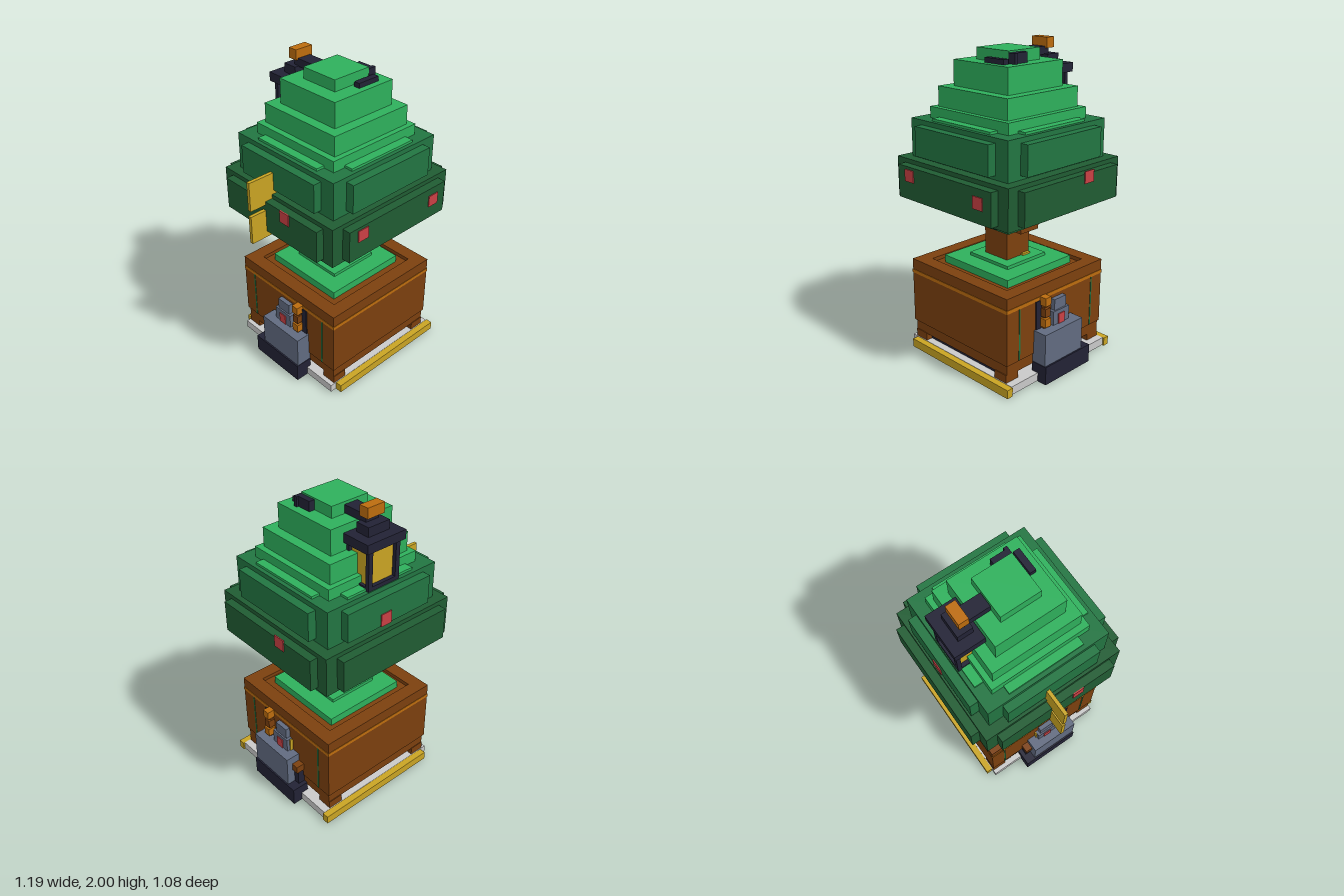
import * as THREE from 'three';

const mat = (name, color) => Object.assign(new THREE.MeshStandardMaterial({ color }), { name });

export function createModel() {
  const M = {
    leaf: mat('brightGreen', 0x2eb05c),
    mid: mat('midGreen', 0x227542),
    dark: mat('darkGreen', 0x205c33),
    wood: mat('brown', 0x7c400e),
    orange: mat('orange', 0xbc6c0e),
    gold: mat('gold', 0xc9a423),
    navy: mat('navy', 0x222235),
    grey: mat('slateGrey', 0x616b80),
    red: mat('red', 0xca4044),
    white: mat('paleGrey', 0xc9c9c9),
  };
  const model = new THREE.Group();
  model.name = 'treeInPlanter';

  const group = (name) => {
    const g = new THREE.Group();
    g.name = name;
    model.add(g);
    return g;
  };
  // Box given by its limits on each axis
  const box = (parent, name, m, x0, x1, y0, y1, z0, z1) => {
    const mesh = new THREE.Mesh(new THREE.BoxGeometry(x1 - x0, y1 - y0, z1 - z0), m);
    mesh.position.set((x0 + x1) / 2, (y0 + y1) / 2, (z0 + z1) / 2);
    mesh.name = name;
    parent.add(mesh);
    return mesh;
  };
  const CX = 0.05, CZ = -0.005; // tree axis
  // Box centred on the tree axis: half width, half depth, bottom, top
  const tier = (parent, name, m, hx, hz, y0, y1) =>
    box(parent, name, m, CX - hx, CX + hx, y0, y1, CZ - hz, CZ + hz);

  // Canopy: stepped tiers with plates standing out of the sides
  const canopy = group('canopy');
  tier(canopy, 'underside', M.mid, 0.375, 0.372, 0.975, 1.04);
  tier(canopy, 'undersideWide', M.mid, 0.422, 0.29, 1.005, 1.045);
  tier(canopy, 'undersideDeep', M.mid, 0.335, 0.422, 1.005, 1.045);
  tier(canopy, 'lowerTier', M.dark, 0.483, 0.48, 1.04, 1.295);
  tier(canopy, 'lowerSidePlates', M.dark, 0.535, 0.405, 1.062, 1.268);
  tier(canopy, 'lowerFacePlates', M.dark, 0.405, 0.535, 1.062, 1.268);
  tier(canopy, 'middleTier', M.mid, 0.416, 0.415, 1.295, 1.535);
  tier(canopy, 'middleSidePlates', M.mid, 0.47, 0.317, 1.32, 1.505);
  tier(canopy, 'middleFacePlates', M.mid, 0.317, 0.47, 1.32, 1.505);
  tier(canopy, 'upperSidePlates', M.leaf, 0.39, 0.255, 1.53, 1.55);
  tier(canopy, 'upperFacePlates', M.leaf, 0.25, 0.39, 1.53, 1.55);
  tier(canopy, 'upperTier', M.leaf, 0.335, 0.332, 1.53, 1.605);
  tier(canopy, 'upperTier2', M.leaf, 0.295, 0.298, 1.605, 1.73);
  tier(canopy, 'upperTier3', M.leaf, 0.23, 0.23, 1.73, 1.888);
  tier(canopy, 'topTier', M.leaf, 0.135, 0.13, 1.888, 1.96);

  // Red berries on the canopy faces
  const berries = group('berries');
  box(berries, 'berry', M.red, -0.29, -0.21, 1.175, 1.25, 0.528, 0.536);
  box(berries, 'berry', M.red, 0.31, 0.39, 1.145, 1.22, 0.528, 0.536);
  box(berries, 'berry', M.red, 0.583, 0.591, 1.21, 1.285, -0.18, -0.1);
  box(berries, 'berry', M.red, -0.492, -0.484, 1.195, 1.272, 0.095, 0.17);
  box(berries, 'berry', M.red, 0.04, 0.12, 1.32, 1.4, -0.482, -0.474);

  // Gold panels on the right side
  const panels = group('goldPanels');
  box(panels, 'upperPanel', M.gold, -0.595, -0.4, 1.245, 1.435, -0.06, -0.037);
  box(panels, 'lowerPanel', M.gold, -0.595, -0.38, 1.02, 1.207, -0.06, -0.037);

  // Lantern hanging behind
  const lantern = group('lantern');
  box(lantern, 'glass', M.gold, -0.045, 0.145, 1.555, 1.785, -0.39, -0.25);
  for (const x of [-0.07, 0.135])
    for (const z of [-0.415, -0.255])
      box(lantern, 'post', M.navy, x, x + 0.03, 1.545, 1.785, z, z + 0.025);
  box(lantern, 'base', M.navy, -0.07, 0.165, 1.535, 1.56, -0.415, -0.23);
  box(lantern, 'cap', M.navy, -0.095, 0.192, 1.785, 1.842, -0.432, -0.238);
  box(lantern, 'capStep', M.navy, -0.03, 0.127, 1.842, 1.9, -0.367, -0.27);
  box(lantern, 'hook', M.navy, 0, 0.095, 1.895, 1.945, -0.31, -0.138);
  box(lantern, 'finial', M.orange, -0.013, 0.112, 1.935, 2, -0.342, -0.278);

  // Dark trim around the tree top
  const trim = group('topTrim');
  box(trim, 'frontBar', M.navy, 0.047, 0.203, 1.885, 1.918, 0.145, 0.185);
  box(trim, 'sideBar', M.navy, 0.184, 0.224, 1.885, 1.95, 0.01, 0.127);
  box(trim, 'corner', M.navy, 0.184, 0.237, 1.885, 1.95, 0.105, 0.128);

  // Trunk with side branches
  const trunk = group('trunk');
  box(trunk, 'stem', M.wood, -0.05, 0.146, 0.6, 0.9, -0.1, 0.097);
  box(trunk, 'core', M.orange, -0.03, 0.13, 0.9, 0.98, -0.065, 0.06);
  box(trunk, 'branch', M.wood, -0.148, -0.045, 0.85, 0.98, -0.08, 0.076);
  box(trunk, 'branch', M.wood, 0.141, 0.245, 0.85, 0.98, -0.08, 0.076);
  box(trunk, 'bracket', M.grey, -0.08, -0.025, 0.64, 0.98, -0.04, 0.04);
  box(trunk, 'goldFoot', M.gold, -0.08, 0.165, 0.65, 0.668, -0.092, -0.03);

  // Grass mound
  const grass = group('grass');
  tier(grass, 'grassLower', M.leaf, 0.285, 0.285, 0.565, 0.635);
  tier(grass, 'grassUpper', M.leaf, 0.17, 0.17, 0.635, 0.656);

  // Planter: body, raised rim, orange band and feet
  const planter = group('planter');
  box(planter, 'body', M.wood, -0.38, 0.48, 0.175, 0.585, -0.43, 0.43);
  for (const s of [-1, 1]) {
    const z = s * 0.385, x = CX + s * 0.385;
    box(planter, 'rim', M.wood, -0.38, 0.48, 0.585, 0.61, z - 0.045, z + 0.045);
    box(planter, 'rim', M.wood, x - 0.045, x + 0.045, 0.585, 0.61, -0.34, 0.34);
  }
  box(planter, 'band', M.orange, -0.383, 0.483, 0.515, 0.538, -0.433, 0.433);
  box(planter, 'plinth', M.wood, -0.37, 0.473, 0.105, 0.175, -0.42, 0.42);
  for (const x of [-0.37, 0.37])
    for (const z of [-0.425, 0.325])
      box(planter, 'foot', M.wood, x, x + 0.1, 0.055, 0.11, z, z + 0.1);
  box(planter, 'underframe', M.navy, -0.3, 0.4, 0.03, 0.108, -0.38, 0.38);

  // Pallet: pale frame, gold rails, dark underside
  const pallet = group('pallet');
  for (const x of [-0.4, 0.37])
    box(pallet, 'sideBoard', M.white, x, x + 0.15, 0.004, 0.058, -0.43, 0.43);
  for (const z of [-0.43, 0.34])
    box(pallet, 'endBoard', M.white, -0.25, 0.37, 0.004, 0.058, z, z + 0.09);
  box(pallet, 'bottomPlate', M.navy, -0.3, 0.4, 0.002, 0.04, -0.36, 0.36);
  box(pallet, 'bottomCentre', M.dark, -0.1, 0.22, 0, 0.02, -0.34, 0.3);
  for (const z of [-0.473, 0.43])
    box(pallet, 'rail', M.gold, -0.355, 0.53, 0, 0.056, z, z + 0.043);

  // Fittings on both sides, mirrored about the tree axis
  for (const s of [-1, 1]) {
    const side = group(s > 0 ? 'leftFittings' : 'rightFittings');
    // Limits a..b are distances from the tree axis
    const part = (name, m, a, b, y0, y1, z0, z1) =>
      box(side, name, m, s > 0 ? CX + a : CX - b, s > 0 ? CX + b : CX - a, y0, y1, z0, z1);
    part('base', M.navy, 0.42, 0.535, 0, 0.12, -0.205, 0.203);
    part('lowerBlock', M.grey, 0.42, 0.525, 0.12, 0.33, -0.137, 0.2);
    part('middleBlock', M.grey, 0.42, 0.47, 0.33, 0.42, -0.072, 0.07);
    part('upperBlock', M.grey, 0.42, 0.46, 0.42, 0.492, -0.053, 0.05);
    part('redLight', M.red, 0.47, 0.476, 0.33, 0.395, -0.028, 0.027);
    part('goldEdge', M.gold, 0.42, 0.45, 0.28, 0.415, -0.08, -0.072);
    part('darkPanel', M.navy, 0.425, 0.438, 0.33, 0.515, 0.145, 0.188);
    for (const y of [0.345, 0.485])
      part('peg', M.orange, 0.43, 0.48, y, y + 0.055, 0.105, 0.153);
    part('pegJoint', M.wood, 0.43, 0.475, 0.41, 0.465, 0.105, 0.148);
    part('pegStem', M.wood, 0.43, 0.458, 0.33, 0.5, 0.115, 0.14);
    part('handle', M.orange, 0.43, 0.48, 0.243, 0.28, -0.115, -0.07);
    part('handleEnd', M.wood, 0.43, 0.485, 0.225, 0.275, -0.185, -0.112);
    part('handlePost', M.navy, 0.42, 0.47, 0.12, 0.226, -0.177, -0.13);
    for (const z of [-0.33, 0.325])
      part('seam', M.mid, 0.427, 0.433, 0.178, 0.515, z - 0.005, z + 0.005);
  }
  return model;
}
